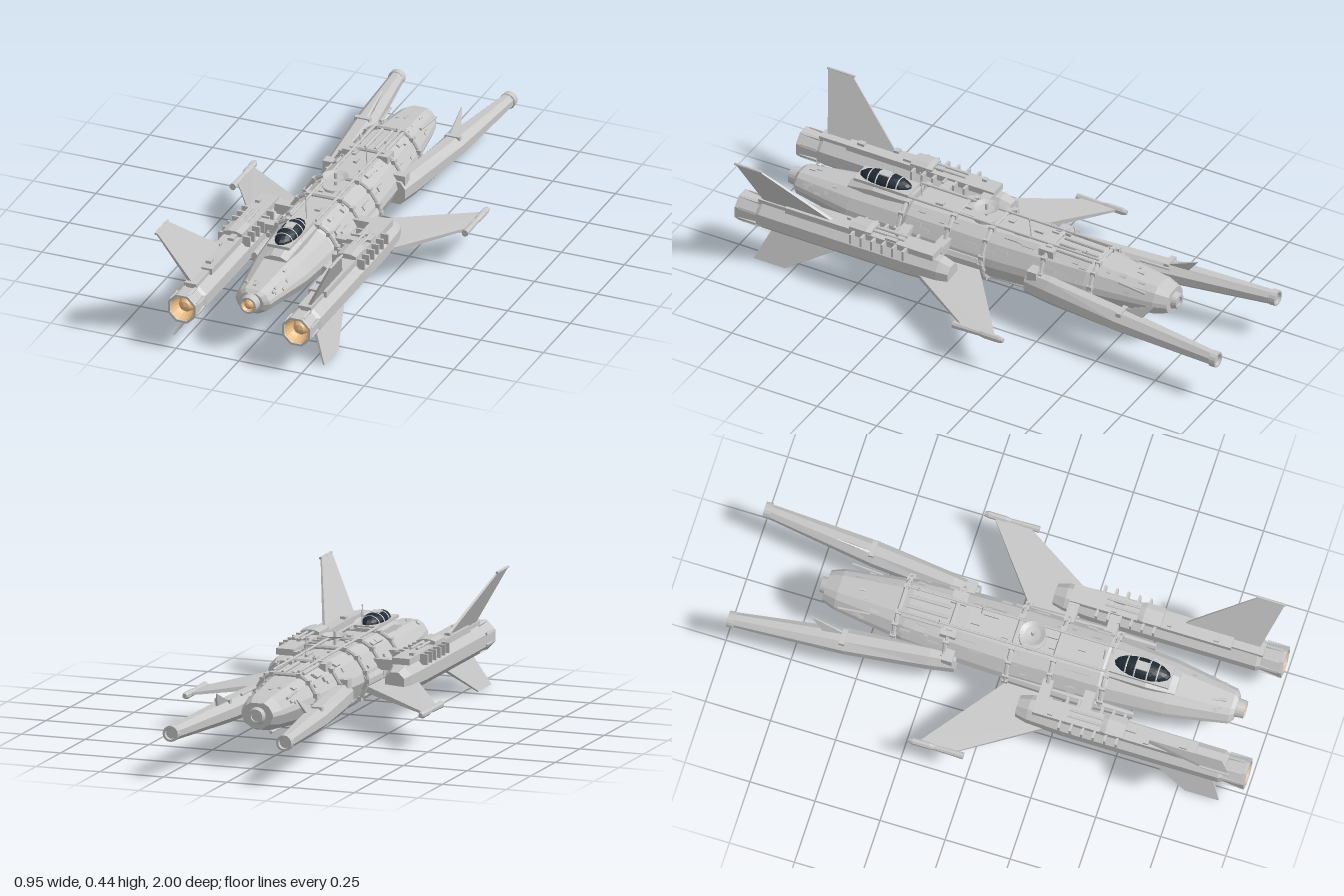
import * as THREE from 'three';
import { ConvexGeometry } from 'three/addons/geometries/ConvexGeometry.js';

export function createModel() {
  const root = new THREE.Group();
  const mat = (name, color) => {
    const m = new THREE.MeshStandardMaterial({ color, flatShading: true, side: THREE.DoubleSide });
    m.name = name;
    return m;
  };
  const grey = mat('hullGrey', 0xc6c6c6);
  const glass = mat('canopyGlass', 0x202b35);
  const gold = mat('engineGold', 0xf8c88e);

  let seed = 7;
  const rnd = (a, b) => {
    seed = (seed * 16807) % 2147483647;
    return a + (b - a) * (seed / 2147483647);
  };
  const add = (name, geo, m, x = 0, y = 0, z = 0) => {
    const mesh = new THREE.Mesh(geo, m);
    mesh.name = name;
    mesh.position.set(x, y, z);
    root.add(mesh);
    return mesh;
  };
  const box = (name, w, h, d, x, y, z) => add(name, new THREE.BoxGeometry(w, h, d), grey, x, y, z);
  // Straight rod between two points
  const rod = (name, a, b, r) => {
    const p = new THREE.Vector3(...a), q = new THREE.Vector3(...b), d = q.clone().sub(p);
    const mesh = add(name, new THREE.CylinderGeometry(r, r, d.length(), 8), grey);
    mesh.position.copy(p).add(q).multiplyScalar(0.5);
    mesh.quaternion.setFromUnitVectors(new THREE.Vector3(0, 1, 0), d.normalize());
  };
  // Skin over cross-sections of [x, y, z] points, counter-clockwise, from back to front
  const loft = (rings) => {
    const pos = [], n = rings[0].length;
    const tri = (...p) => p.forEach((v) => pos.push(...v));
    for (let i = 0; i < rings.length - 1; i++) for (let j = 0; j < n; j++) {
      const k = (j + 1) % n, A = rings[i], B = rings[i + 1];
      tri(A[j], A[k], B[k]);
      tri(A[j], B[k], B[j]);
    }
    const last = rings[rings.length - 1];
    for (let j = 1; j < n - 1; j++) {
      tri(rings[0][0], rings[0][j + 1], rings[0][j]);
      tri(last[0], last[j], last[j + 1]);
    }
    const g = new THREE.BufferGeometry();
    g.setAttribute('position', new THREE.Float32BufferAttribute(pos, 3));
    g.computeVertexNormals();
    return g;
  };
  const octagon = (cx, cy, rx, ry, z) => Array.from({ length: 8 }, (_, i) => {
    const a = (i + 0.5) * Math.PI / 4, k = 1 / Math.cos(Math.PI / 8);
    return [cx + rx * k * Math.cos(a), cy + ry * k * Math.sin(a), z];
  });
  const octLoft = (name, list) => add(name, loft(list.map((s) => octagon(...s))), grey);
  // Thin convex plate, each corner [x, y, z, thickness]
  const plate = (name, pts) => {
    const v = pts.map((p) => new THREE.Vector3(p[0], p[1], p[2]));
    const nrm = v[1].clone().sub(v[0]).cross(v[2].clone().sub(v[0])).normalize();
    const all = v.flatMap((p, i) => [1, -1].map((s) => p.clone().addScaledVector(nrm, s * pts[i][3] / 2)));
    add(name, new ConvexGeometry(all), grey);
  };
  // Turned shape along +z
  const turned = (name, pts, m, x, y, z, seg = 20) => {
    const g = new THREE.LatheGeometry(pts.map((p) => new THREE.Vector2(...p)), seg);
    return add(name, g.rotateX(Math.PI / 2), m, x, y, z);
  };

  // Hull: [z, half width, top, bottom]
  const keys = [[-0.69, 0.062, 0.235, 0.14], [-0.64, 0.082, 0.25, 0.125], [-0.4, 0.117, 0.275, 0.1],
    [-0.37, 0.125, 0.28, 0.09], [-0.15, 0.14, 0.285, 0.083], [0, 0.145, 0.285, 0.076],
    [0.38, 0.14, 0.285, 0.078], [0.41, 0.132, 0.27, 0.09], [0.63, 0.115, 0.255, 0.105], [0.87, 0.07, 0.235, 0.138],
    [0.885, 0.05, 0.225, 0.15]];
  const section = ([z, w, t, b], e = 0) => {
    const h = t - b;
    const half = [[0.3, 0], [0.8, 0.2], [1, 0.5], [0.95, 0.64], [0.72, 0.88], [0.42, 1]];
    const right = half.map(([fx, fy]) => [fx * (w + e), b - e + fy * (h + 2 * e), z]);
    return [...right, ...right.map(([x, y]) => [-x, y, z]).reverse()];
  };
  const keyAt = (z) => {
    let i = 0;
    while (i < keys.length - 2 && keys[i + 1][0] < z) i++;
    const f = (z - keys[i][0]) / (keys[i + 1][0] - keys[i][0]);
    return keys[i].map((v, j) => v + f * (keys[i + 1][j] - v));
  };
  add('hull', loft(keys.map((k) => section(k))), grey);

  // Pipe rings and joint bands round the hull
  for (const z of [0.4, 0.2, 0.04, -0.2, -0.4]) {
    const pts = section(keyAt(z), 0.008).map((p) => new THREE.Vector3(...p));
    add('hullRing', new THREE.TubeGeometry(new THREE.CatmullRomCurve3(pts, true, 'catmullrom', 0.3), 48, 0.008, 6, true), grey);
    for (const p of pts) box('ringClamp', 0.017, 0.017, 0.022, p.x, p.y, p.z);
  }

  // Nose and tail nozzles
  turned('noseNozzle', [[0.036, 0], [0.033, 0.035], [0.026, 0.035], [0.024, 0.015]], grey, 0, 0.19, 0.883);
  turned('noseGlow', [[0.0255, 0.034], [0.019, 0.022], [0.016, 0.028], [0.009, 0.035], [0, 0.038]], gold, 0, 0.19, 0.883);
  turned('tailNozzle', [[0, -0.012], [0.018, -0.012], [0.018, -0.022], [0.028, -0.022], [0.034, 0.005]], grey, 0, 0.188, -0.69);

  // Cockpit housing, canopy and its frame
  octLoft('cockpitHousing', [[0, 0.27, 0.058, 0.026, 0.39], [0, 0.272, 0.06, 0.028, 0.55], [0, 0.25, 0.045, 0.02, 0.66]]);
  box('cockpitSill', 0.09, 0.012, 0.23, 0, 0.296, 0.52);
  const canopy = add('canopy', new THREE.SphereGeometry(1, 16, 6, 0, Math.PI * 2, 0, Math.PI / 2), glass, 0, 0.3, 0.523);
  canopy.scale.set(0.042, 0.034, 0.108);
  for (const z of [-0.06, -0.024, 0.024, 0.06]) {
    const k = Math.sqrt(1 - (z / 0.108) ** 2);
    const bow = add('canopyFrame', new THREE.TorusGeometry(1, 0.06, 4, 14, Math.PI), grey, 0, 0.3, 0.523 + z);
    bow.scale.set(0.042 * k, 0.034 * k, 0.05);
  }
  box('canopyRoof', 0.034, 0.006, 0.044, 0, 0.332, 0.523);

  // Dish, masts and beacons on the back
  turned('dish', [[0, 0], [0.03, 0.004], [0.048, 0.012]], grey, 0, 0.32, 0.1).rotation.x = -Math.PI / 2;
  rod('dishMast', [0, 0.28, 0.1], [0, 0.345, 0.1], 0.006);
  add('dishHub', new THREE.CylinderGeometry(0.05, 0.052, 0.01, 24), grey, 0, 0.289, 0.1);
  for (const [x, z, y] of [[0, 0.38, 0.385], [0.035, -0.1, 0.362], [-0.05, -0.24, 0.325], [0.05, -0.35, 0.32]]) {
    rod('antenna', [x, 0.27, z - 0.01], [x, y, z], 0.002);
    add('antennaBead', new THREE.SphereGeometry(0.004, 6, 4), grey, x, y, z);
  }

  // Belly equipment
  for (const [z, d, y] of [[0.4, 0.03, 0.08], [0.17, 0.06, 0.076], [-0.21, 0.07, 0.08], [-0.33, 0.04, 0.085]]) {
    box('bellyPod', 0.05, 0.024, d, 0, y, z);
  }
  rod('bellyGun', [0.02, 0.085, -0.3], [0.02, 0.085, -0.5], 0.006);

  // Scattered equipment boxes on the hull's upper panels
  for (let i = 0; i < 62; i++) {
    const z = i < 42 ? rnd(-0.36, 0.37) : (i < 52 ? rnd(-0.62, -0.42) : rnd(0.66, 0.84));
    const s = section(keyAt(z)), e = Math.floor(rnd(3, 8)), f = rnd(0.15, 0.85);
    const p = s[e], q = s[e + 1], small = i < 42 ? 1 : 0.55;
    const g = box('hullEquipment', rnd(0.01, 0.024) * small, rnd(0.008, 0.018) * small, rnd(0.015, 0.06) * small,
      p[0] + f * (q[0] - p[0]), p[1] + f * (q[1] - p[1]), z);
    g.rotation.z = Math.atan2(q[1] - p[1], q[0] - p[0]);
  }

  for (const s of [1, -1]) {
    const X = s * 0.228, Y = 0.168;
    // Engine body with collar, nozzle and glowing core
    octLoft('engine', [[X, Y, 0.038, 0.036, 0.115], [X, Y, 0.05, 0.05, 0.16], [X, Y, 0.057, 0.055, 0.3],
      [X, Y, 0.057, 0.055, 0.9], [X, Y, 0.05, 0.05, 0.915]]);
    turned('engineNozzle', [[0.054, 0], [0.06, 0.075], [0.06, 0.085], [0.051, 0.085], [0.05, 0.03]],
      grey, X, Y, 0.915, 8).rotation.z = Math.PI / 8;
    turned('engineGlow', [[0.048, 0.082], [0.043, 0.05], [0.034, 0.025], [0.029, 0.025], [0.028, 0.045], [0.018, 0.06], [0, 0.066]],
      gold, X, Y, 0.915);
    for (let i = 0; i < 8; i++) {
      const a = (i + 0.5) * Math.PI / 4;
      box('nozzleRib', 0.01, 0.01, 0.07, X + 0.055 * Math.cos(a), Y + 0.055 * Math.sin(a), 0.95).rotation.z = a;
    }
    // Dorsal block, turret and rails on the engine
    box('engineDeck', 0.07, 0.024, 0.62, X, 0.232, 0.49);
    box('engineDeckFront', 0.05, 0.02, 0.2, X, 0.226, 0.82);
    octLoft('engineTurret', [[X, 0.251, 0.034, 0.012, 0.44], [X, 0.253, 0.04, 0.014, 0.46], [X, 0.252, 0.038, 0.012, 0.53]]);
    for (const o of [-0.012, 0.012]) rod('turretBarrel', [X + o, 0.254, 0.46], [X + o, 0.254, 0.31], 0.005);
    for (let i = 0; i < 6; i++) box('engineEquipment', rnd(0.01, 0.026), 0.012, rnd(0.015, 0.05), X + rnd(-0.022, 0.022), 0.248, rnd(0.2, 0.77));
    // Cooling louvres across the engine's shoulders
    for (let i = 0; i < 6; i++) box('coolingLouvre', 0.128, 0.04, 0.009, X, 0.222, 0.29 + i * 0.044);
    // Brackets and strake joining engine and hull
    for (const z of [0.2, 0.36]) box('engineBracket', 0.08, 0.04, 0.04, s * 0.155, 0.215, z);
    octLoft('sideStrake', [[s * 0.135, 0.175, 0.018, 0.025, 0.03], [s * 0.14, 0.175, 0.02, 0.025, 0.3], [s * 0.14, 0.175, 0.012, 0.018, 0.53]]);

    // Wing and tip pod
    plate('wing', [[s * 0.13, 0.148, 0.06, 0.026], [s * 0.455, 0.132, -0.19, 0.009], [s * 0.455, 0.132, -0.05, 0.009],
      [s * 0.28, 0.142, 0.225, 0.02], [s * 0.13, 0.148, 0.225, 0.026]]);
    octLoft('wingTipPod', [[s * 0.463, 0.131, 0.008, 0.009, -0.23], [s * 0.463, 0.131, 0.012, 0.013, -0.215], [s * 0.463, 0.131, 0.012, 0.013, -0.15],
      [s * 0.463, 0.131, 0.009, 0.01, -0.13], [s * 0.463, 0.131, 0.012, 0.013, -0.02]]);

    // Upper and lower fins
    plate('upperFin', [[s * 0.228, 0.215, 0.58, 0.012], [s * 0.238, 0.232, 0.9, 0.012],
      [s * 0.347, 0.44, 0.96, 0.006], [s * 0.347, 0.44, 0.86, 0.006]]);
    rod('finTipRail', [s * 0.347, 0.438, 0.85], [s * 0.347, 0.438, 0.965], 0.005);
    plate('lowerFin', [[s * 0.24, 0.122, 0.58, 0.012], [s * 0.24, 0.122, 0.86, 0.012],
      [s * 0.3, 0.003, 0.91, 0.006], [s * 0.3, 0.003, 0.78, 0.006]]);

    // Splayed tail boom, end collar and spike fin
    octLoft('tailBoom', [[s * 0.221, 0.165, 0.026, 0.026, -0.98], [s * 0.178, 0.166, 0.046, 0.042, -0.56],
      [s * 0.146, 0.168, 0.04, 0.05, -0.25], [s * 0.135, 0.168, 0.034, 0.045, -0.15]]);
    turned('boomCollar', [[0, 0.012], [0.02, 0.012], [0.022, 0], [0.03, 0], [0.031, 0.025], [0.022, 0.028]], grey, s * 0.223, 0.165, -1, 16);
    plate('boomFin', [[s * 0.165, 0.2, -0.55, 0.01], [s * 0.175, 0.2, -0.65, 0.01], [s * 0.158, 0.262, -0.7, 0.003]]);
    box('boomFinFoot', 0.06, 0.02, 0.02, s * 0.18, 0.203, -0.57);
    box('boomRoot', 0.05, 0.05, 0.04, s * 0.14, 0.21, -0.18);

    // Long pipes along the hull
    rod('deckRail', [s * 0.05, 0.302, 0.4], [s * 0.05, 0.298, -0.4], 0.005);
    rod('bellyRail', [s * 0.1, 0.1, 0.4], [s * 0.09, 0.105, -0.4], 0.005);
    for (const x of [0.02, 0.06]) rod('rearPipe', [s * x, 0.29, -0.22], [s * x, 0.286, -0.38], 0.007);
    box('rearPump', 0.05, 0.03, 0.06, s * 0.066, 0.28, -0.2);
    rod('sideProbe', [s * 0.08, 0.25, -0.5], [s * 0.09, 0.245, -0.62], 0.005);
  }
  return root;
}
